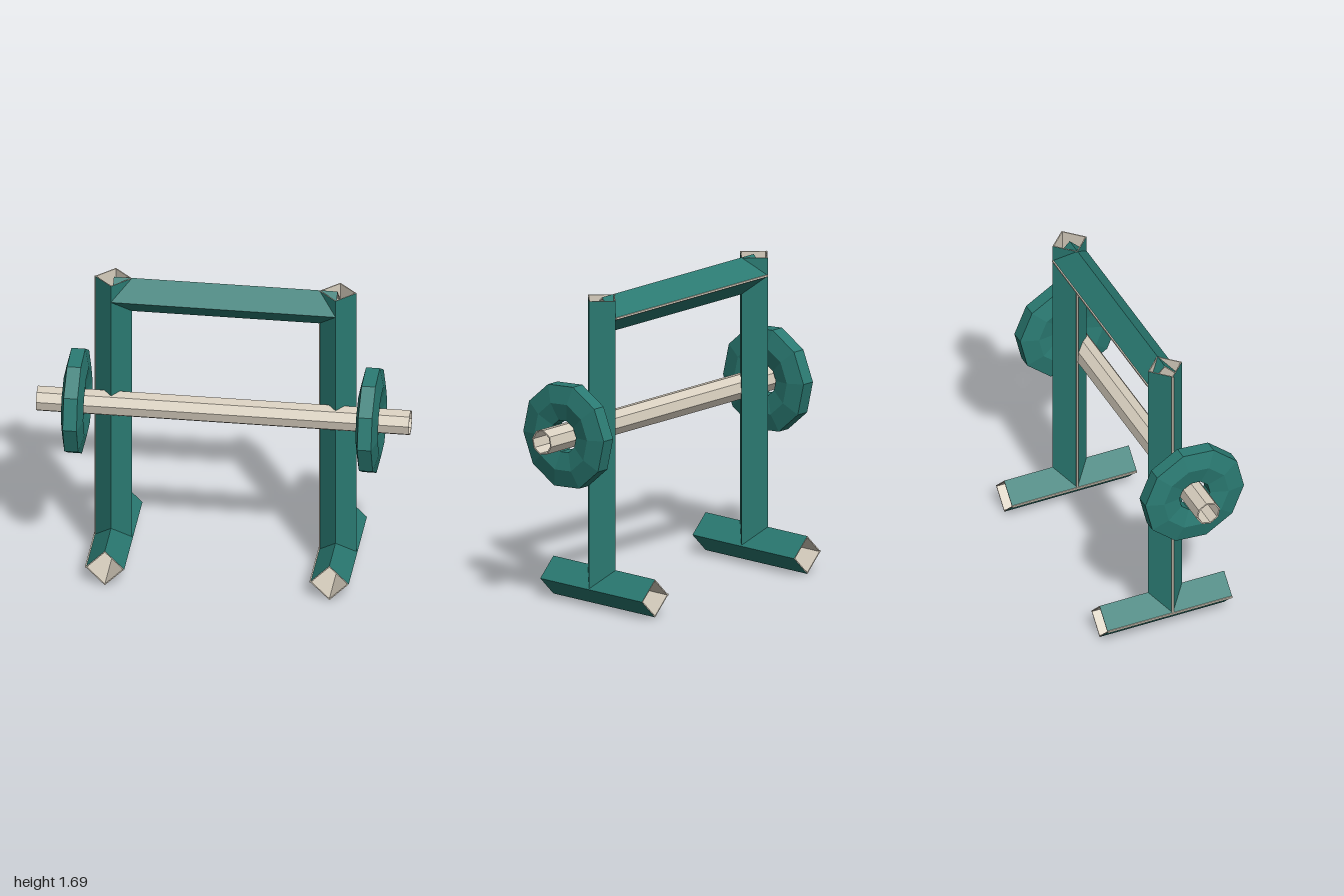
import * as THREE from 'three';

const paint = new THREE.MeshStandardMaterial({ color: 0x2a7a72, flatShading: true });
const steel = new THREE.MeshStandardMaterial({ color: 0xd8cfbf, flatShading: true });

const v = (x, y) => new THREE.Vector2(x, y);

// Thin-walled open tube along local y, with a bare inside, rims and a seam along one edge
function tube(name, { radius, length, sides = 4, wall = 0.008, start = 0, outside = paint, seam }) {
  const g = new THREE.Group();
  g.name = name;
  const h = length / 2, inner = radius - wall;
  const add = (geo, mat, part) => {
    const m = new THREE.Mesh(geo, mat);
    m.name = part;
    g.add(m);
    return m;
  };
  add(new THREE.LatheGeometry([v(radius, -h), v(radius, h)], sides, start), outside, 'outerWall');
  add(new THREE.LatheGeometry([v(radius, h), v(inner, h), v(inner, -h), v(radius, -h)], sides, start), steel, 'innerWall');
  if (seam !== undefined) {
    const strip = add(new THREE.BoxGeometry(0.01, length, 0.01), steel, 'seam');
    strip.position.set(Math.sin(seam) * (radius - 0.003), 0, Math.cos(seam) * (radius - 0.003));
  }
  return g;
}

export function createModel() {
  const model = new THREE.Group();
  model.name = 'barbellRack';
  const place = (part, x, y, z) => {
    part.position.set(x, y, z);
    model.add(part);
    return part;
  };

  const barY = 0.96, barZ = 0.081;

  // Weight plate: ten-sided ring, thickest halfway out
  const plateGeo = new THREE.LatheGeometry([
    v(0.09, -0.037), v(0.19, -0.06), v(0.29, -0.037),
    v(0.29, 0.037), v(0.19, 0.06), v(0.09, 0.037), v(0.09, -0.037),
  ], 10);
  plateGeo.rotateY(THREE.MathUtils.degToRad(76.6));
  plateGeo.rotateZ(-Math.PI / 2);

  for (const side of [-1, 1]) {
    const label = side > 0 ? 'left' : 'right';

    // Upright and foot, both square tubes standing on edge
    place(tube(label + 'Post', { radius: 0.1, length: 1.58, seam: -Math.PI / 2 }), side * 0.602, 0.9, 0.011);
    const foot = tube(label + 'Foot', { radius: 0.104, length: 0.73, seam: -Math.PI / 2 });
    foot.rotation.x = Math.PI / 2;
    place(foot, side * 0.602, 0.105, -0.007);

    const plate = new THREE.Mesh(plateGeo, paint);
    plate.name = label + 'Plate';
    place(plate, side * 0.79, barY, barZ);
  }

  // Top crossbar
  const crossbar = tube('crossbar', { radius: 0.101, length: 1.2, seam: Math.PI });
  crossbar.rotation.z = Math.PI / 2;
  place(crossbar, 0, 1.592, 0.011);

  // Hollow eight-sided bar
  const bar = tube('bar', { radius: 0.07, length: 2, sides: 8, start: 0.17, outside: steel });
  bar.rotation.z = Math.PI / 2;
  place(bar, 0, barY, barZ);

  return model;
}
